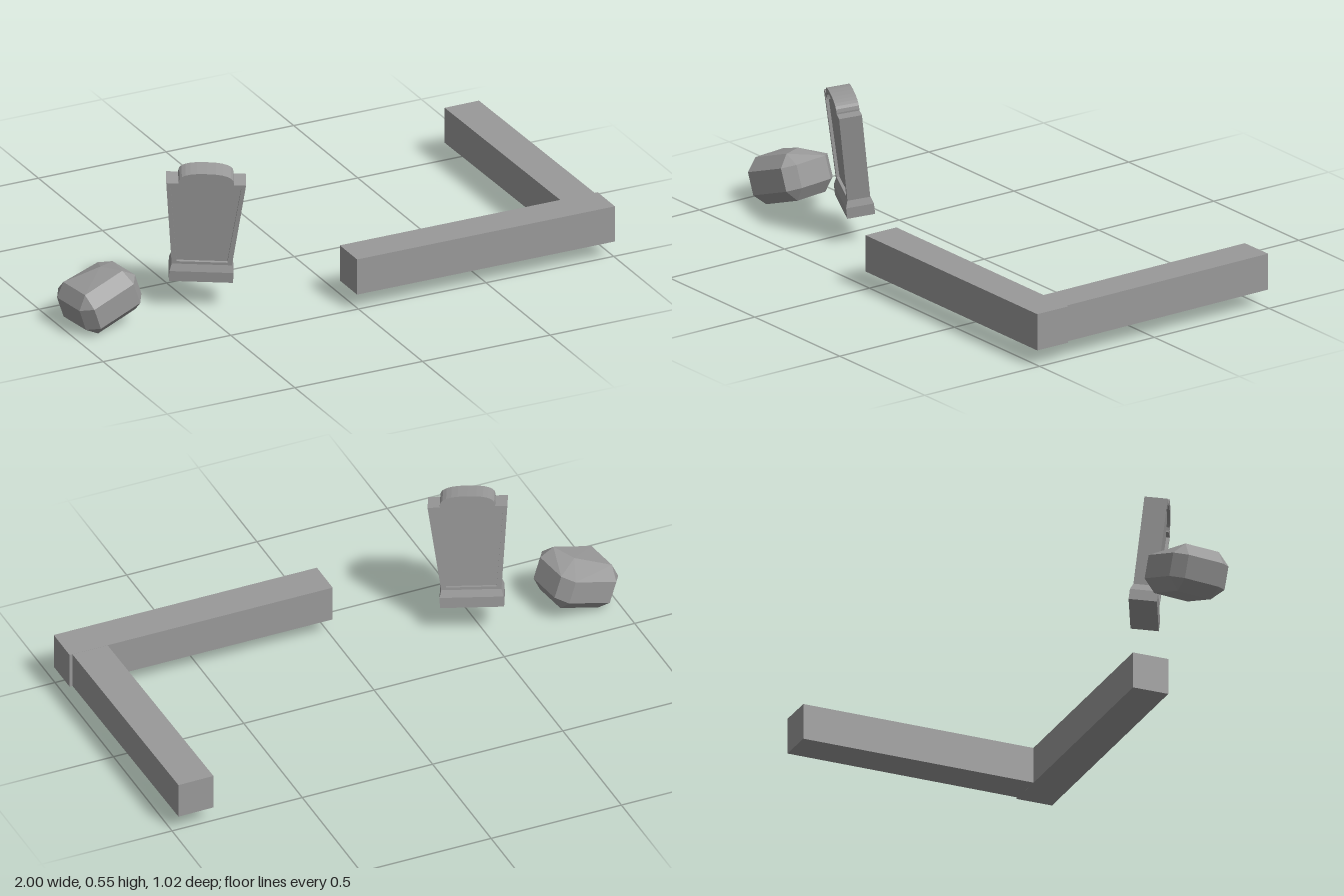
import * as THREE from 'three';
import { ConvexGeometry } from 'three/addons/geometries/ConvexGeometry.js';

const stone = new THREE.MeshStandardMaterial({ color: 0x999999, flatShading: true });
stone.name = 'grey stone';

function add(parent, name, geometry, x = 0, y = 0, z = 0) {
  const mesh = new THREE.Mesh(geometry, stone);
  mesh.name = name;
  mesh.position.set(x, y, z);
  parent.add(mesh);
  return mesh;
}

// Tapered slab outline with square shoulders and a rounded crown, inset evenly by i
function slabOutline(i) {
  const bottom = 0.105 - i, top = 0.14 - i, shoulder = 0.393 - i;
  const arch = 0.097 - i * 0.8, rise = 0.042;
  const points = [[-bottom, 0.06 + i], [bottom, 0.06 + i], [top, shoulder], [arch, shoulder]];
  const steps = 12;
  for (let k = 0; k <= steps; k++) {
    const a = Math.PI * k / steps;
    const c = Math.cos(a), s = Math.sin(a);
    points.push([arch * Math.sign(c) * Math.abs(c) ** 0.8, shoulder + 0.006 + (rise - 0.006) * s ** 0.8]);
  }
  points.push([-arch, shoulder], [-top, shoulder]);
  return points.map(([x, y]) => new THREE.Vector2(x, y));
}

function extrude(shape, depth) {
  return new THREE.ExtrudeGeometry(shape, { depth, bevelEnabled: false }).translate(0, 0, -depth / 2);
}

function gravestone() {
  const g = new THREE.Group();
  g.name = 'gravestone';

  // Plinth with a sloping shoulder
  add(g, 'plinth', new THREE.BoxGeometry(0.225, 0.04, 0.1), 0, 0.02);
  const slope = new THREE.BoxGeometry(0.225, 0.026, 0.1);
  const p = slope.attributes.position;
  for (let i = 0; i < p.count; i++) {
    if (p.getY(i) > 0) p.setXYZ(i, p.getX(i) * 0.935, p.getY(i), p.getZ(i) * 0.82);
  }
  slope.computeVertexNormals();
  add(g, 'plinthSlope', slope, 0, 0.053);

  // Raised rim around a panel sunk into both faces
  const rim = new THREE.Shape(slabOutline(0));
  rim.holes.push(new THREE.Path(slabOutline(0.016).reverse()));
  add(g, 'rim', extrude(rim, 0.082));
  add(g, 'panel', extrude(new THREE.Shape(slabOutline(0.015)), 0.06));

  g.rotation.set(0.12, -0.45, -0.045, 'YXZ');
  g.position.set(-0.473, 0.116, 0.212);
  return g;
}

// Chamfered boulder: the corners of three pairs of faces, one top corner worn away
function boulder() {
  const points = [];
  for (const x of [-1, 1]) for (const y of [-1, 1]) for (const z of [-1, 1]) {
    points.push(new THREE.Vector3(x * 0.124, y * 0.042, z * 0.07));
    points.push(new THREE.Vector3(x * 0.088, y * 0.042, z * 0.113));
    const worn = x > 0 && y > 0 && z < 0;
    points.push(worn ? new THREE.Vector3(0.05, 0.088, -0.02) : new THREE.Vector3(x * 0.083, y * 0.085, z * 0.068));
  }
  return new ConvexGeometry(points);
}

export function createModel() {
  const model = new THREE.Group();
  model.name = 'graveyardStones';

  // Two kerb bars meeting at a corner
  add(model, 'frontKerb', new THREE.BoxGeometry(1.01, 0.135, 0.135), 0.495, 0.1325, 0.4425);
  const side = add(model, 'sideKerb', new THREE.BoxGeometry(0.135, 0.134, 0.9), 0.917, 0.1325, -0.06);
  side.rotation.y = 0.01;

  model.add(gravestone());

  const rock = add(model, 'boulder', boulder(), -0.866, 0.111, 0.203);
  rock.rotation.set(0, 0.13, 0.33, 'YXZ');
  return model;
}
